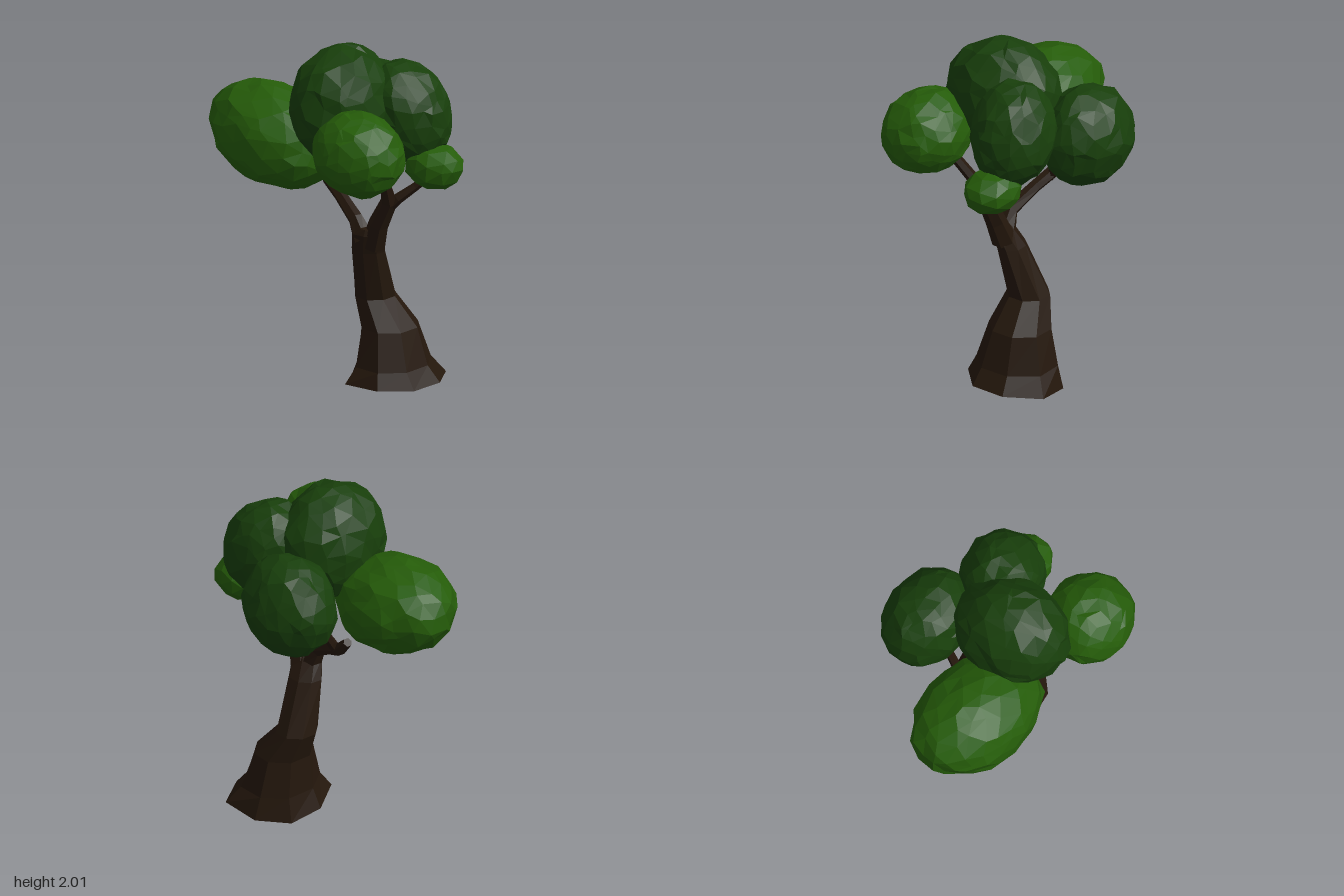
import * as THREE from 'three';
import { mergeVertices } from 'three/addons/utils/BufferGeometryUtils.js';

const material = (color) => new THREE.MeshStandardMaterial({ color, flatShading: true });
const bark = material(0x24170c);
const darkLeaf = material(0x183f0b);
const lightLeaf = material(0x255c09);

function seeded(seed) {
  let s = seed * 7919 + 13;
  return () => (s = (s * 16807) % 2147483647) / 2147483647;
}

// Faceted skin over rings [x, y, z, rx, rz, root]; level rings lie flat, others face along the path
function loft(name, rings, sides, level) {
  const pos = [], index = [];
  const centres = rings.map((r) => new THREE.Vector3(r[0], r[1], r[2]));
  const up = new THREE.Vector3(0, 1, 0);
  rings.forEach(([, , , rx, rz = rx, root = 0], i) => {
    const q = new THREE.Quaternion();
    if (!level) {
      const a = centres[Math.max(i - 1, 0)], b = centres[Math.min(i + 1, rings.length - 1)];
      q.setFromUnitVectors(up, b.clone().sub(a).normalize());
    }
    for (let k = 0; k < sides; k++) {
      const t = (k / sides) * Math.PI * 2;
      // Roots spread along one diagonal
      const spread = 1 + root * Math.max(0, Math.cos(2 * t + Math.PI / 2));
      const p = new THREE.Vector3(Math.cos(t) * rx, 0, Math.sin(t) * rz).multiplyScalar(spread);
      p.applyQuaternion(q).add(centres[i]);
      // The foot dips at its back corner
      if (level && i === 0) p.y -= 0.05 * Math.max(0, Math.cos(t + Math.PI * 0.7));
      pos.push(p.x, p.y, p.z);
    }
  });
  for (let i = 0; i < rings.length - 1; i++) {
    for (let k = 0; k < sides; k++) {
      const a = i * sides + k, b = i * sides + ((k + 1) % sides);
      index.push(a, a + sides, b, b, a + sides, b + sides);
    }
  }
  // End caps
  const last = (rings.length - 1) * sides;
  for (let k = 1; k < sides - 1; k++) {
    index.push(0, k, k + 1, last, last + k + 1, last + k);
  }
  const geo = new THREE.BufferGeometry();
  geo.setAttribute('position', new THREE.Float32BufferAttribute(pos, 3));
  geo.setIndex(index);
  geo.computeVertexNormals();
  const mesh = new THREE.Mesh(geo, bark);
  mesh.name = name;
  return mesh;
}

// Rough faceted ellipsoid of leaves
function foliage(name, mat, centre, radii, tilt, seed, detail = 3) {
  const rand = seeded(seed);
  let geo = new THREE.IcosahedronGeometry(1, detail);
  geo.deleteAttribute('normal');
  geo.deleteAttribute('uv');
  geo = mergeVertices(geo, 1e-3);
  const p = geo.attributes.position;
  const v = new THREE.Vector3(), jitter = new THREE.Vector3();
  for (let i = 0; i < p.count; i++) {
    v.fromBufferAttribute(p, i);
    jitter.set(rand() - 0.5, rand() - 0.5, rand() - 0.5).multiplyScalar(0.2);
    v.add(jitter).normalize().multiplyScalar(0.97 + rand() * 0.07);
    p.setXYZ(i, v.x, v.y, v.z);
  }
  geo.scale(...radii);
  geo.computeVertexNormals();
  const mesh = new THREE.Mesh(geo, mat);
  mesh.name = name;
  mesh.position.set(...centre);
  mesh.rotation.set(...tilt);
  return mesh;
}

export function createModel() {
  const tree = new THREE.Group();
  tree.name = 'tree';

  // Trunk with a flared foot, leaning forward as it rises
  tree.add(loft('trunk', [
    [0.335, 0.05, -0.095, 0.265, 0.275, 0.14],
    [0.32, 0.14, -0.1, 0.205, 0.235, 0.06],
    [0.295, 0.35, -0.11, 0.165, 0.18],
    [0.2, 0.51, -0.13, 0.118, 0.125],
    [0.2, 0.8, -0.03, 0.1, 0.085],
    [0.213, 0.91, 0.02, 0.09, 0.06],
    [0.22, 0.945, 0.03, 0.05, 0.04],
  ], 8, true));

  // Main limbs and their forks
  tree.add(loft('rightLimb', [
    [0.24, 0.84, 0.0, 0.07], [0.285, 0.98, 0.035, 0.058], [0.36, 1.13, 0.065, 0.048],
    [0.36, 1.24, 0.12, 0.034], [0.35, 1.38, 0.25, 0.03],
  ], 6));
  tree.add(loft('rightTwig', [
    [0.35, 1.09, 0.06, 0.034], [0.41, 1.15, 0.055, 0.03], [0.5, 1.22, 0.02, 0.024], [0.59, 1.3, -0.01, 0.02],
  ], 6));
  tree.add(loft('leftLimb', [
    [0.19, 0.87, 0.01, 0.065], [0.13, 0.98, -0.01, 0.043], [0.0, 1.07, -0.11, 0.036],
    [-0.1, 1.13, -0.19, 0.038], [-0.18, 1.22, -0.24, 0.026],
  ], 6));
  tree.add(loft('leftTwig', [
    [-0.08, 1.1, -0.17, 0.03], [-0.065, 1.18, -0.22, 0.028], [-0.02, 1.31, -0.29, 0.024],
  ], 6));

  // Crown
  tree.add(foliage('crownTop', darkLeaf, [0.08, 1.665, 0.05], [0.28, 0.335, 0.335], [0, -0.2, 0], 3));
  tree.add(foliage('crownBack', darkLeaf, [0.08, 1.485, -0.435], [0.295, 0.29, 0.24], [0, -0.4, 0], 5));
  tree.add(foliage('crownRight', darkLeaf, [0.4, 1.61, -0.1], [0.245, 0.3, 0.235], [0, 0, 0.5], 8));
  tree.add(foliage('crownLeft', lightLeaf, [-0.365, 1.415, -0.02], [0.425, 0.275, 0.3], [0, -0.5, -0.22], 11));
  tree.add(foliage('crownFront', lightLeaf, [0.32, 1.51, 0.42], [0.27, 0.235, 0.245], [0, -0.4, -0.15], 14));
  tree.add(foliage('crownSmall', lightLeaf, [0.59, 1.335, -0.035], [0.175, 0.13, 0.155], [0, -0.5, 0], 17, 1));

  return tree;
}
